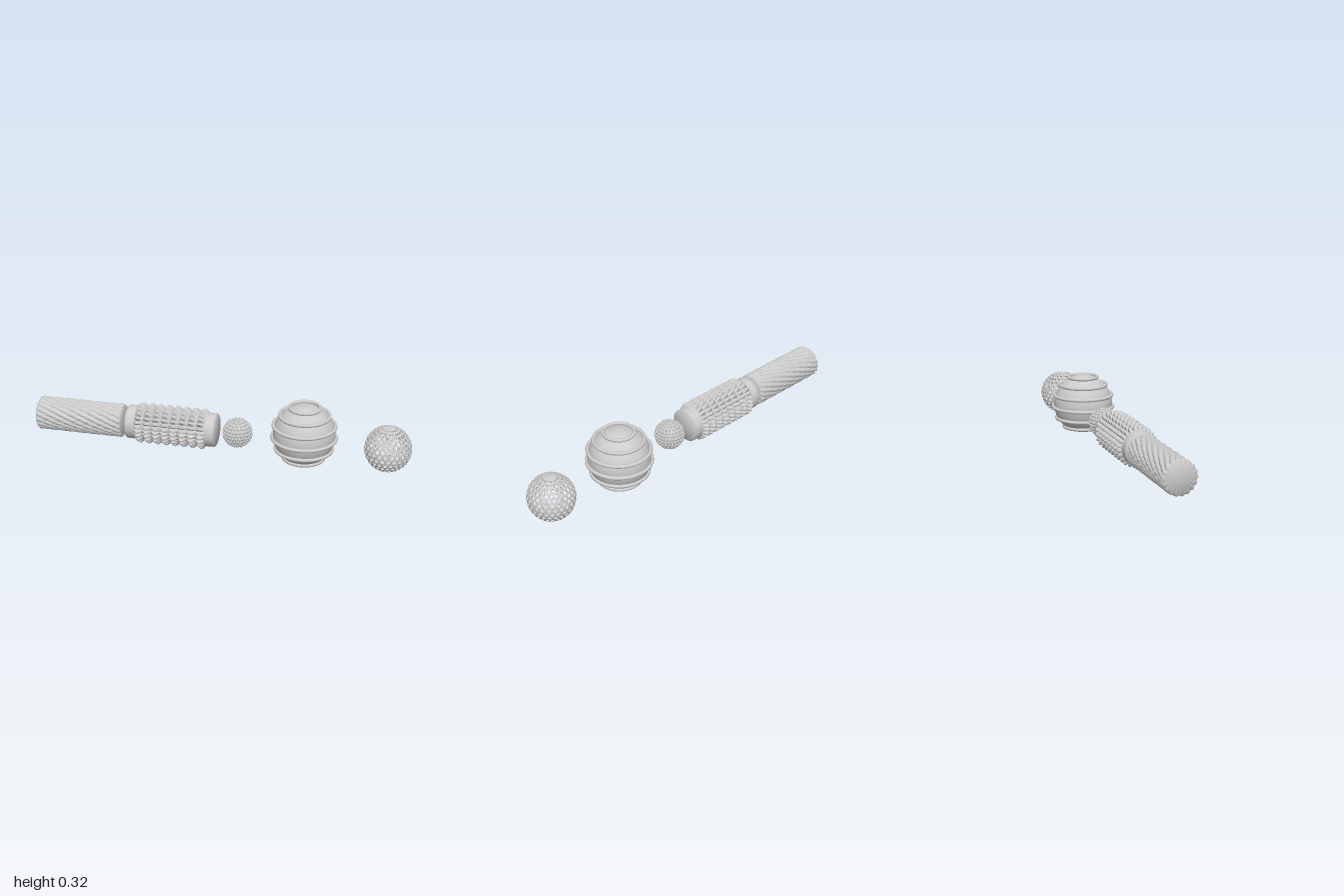
import * as THREE from 'three';
import { mergeGeometries, toCreasedNormals } from 'three/addons/utils/BufferGeometryUtils.js';

const material = new THREE.MeshStandardMaterial({ color: 0xcccccc });
const shellMaterial = new THREE.MeshStandardMaterial({ color: 0xcccccc, side: THREE.DoubleSide });

function add(parent, name, geometry, x = 0, y = 0, z = 0, mat = material) {
  const mesh = new THREE.Mesh(geometry, mat);
  mesh.name = name;
  mesh.position.set(x, y, z);
  parent.add(mesh);
  return mesh;
}

// Closed roller along x; radiusAt(x, phi) shapes the wall, bevel softens both ends
function rollerGeometry(length, bevel, rows, sides, radiusAt) {
  const g = new THREE.CylinderGeometry(1, 1, 1, sides, rows, true);
  const p = g.attributes.position;
  for (let i = 0; i < p.count; i++) {
    const j = Math.round((p.getY(i) + 0.5) * rows);
    const phi = Math.atan2(p.getZ(i), -p.getX(i));
    const edge = Math.min(j, rows - j);
    const k = THREE.MathUtils.clamp((j - 2) / (rows - 4), 0, 1);
    let x = bevel + k * (length - 2 * bevel);
    let r = radiusAt(x, phi);
    if (edge < 2) {
      x = j < 2 ? 0 : length;
      r = edge === 0 ? 0 : r - bevel;
    }
    p.setXYZ(i, -r * Math.cos(phi), x - length / 2, r * Math.sin(phi));
  }
  g.rotateZ(-Math.PI / 2);
  return toCreasedNormals(g, 0.9);
}

// Ball covered in rows of small rounded nubs
function nubbyBallGeometry(radius, nub, rows) {
  const parts = [new THREE.SphereGeometry(radius, 32, 20)];
  for (let i = 0; i <= rows; i++) {
    const polar = (i / rows) * Math.PI;
    const count = Math.max(1, Math.round(2 * rows * Math.sin(polar)));
    for (let k = 0; k < count; k++) {
      const angle = ((k + (i % 2) / 2) / count) * Math.PI * 2;
      const c = new THREE.Vector3().setFromSphericalCoords(radius, polar, angle);
      parts.push(new THREE.SphereGeometry(nub, 8, 6).translate(c.x, c.y, c.z));
    }
  }
  return mergeGeometries(parts);
}

// Thin spherical shell made of tiles, each with a round hole
function perforatedShellGeometry(radius, thickness, rows, columns, capLat) {
  const pos = [], nor = [], steps = 16;
  const halfLat = capLat / rows, halfLon = Math.PI / columns;
  const onSphere = (lon, lat, r) => new THREE.Vector3().setFromSphericalCoords(r, Math.PI / 2 - lat, lon);
  const quad = (a, b, c, d, normalOf) => {
    for (const v of [a, b, c, a, c, d]) {
      pos.push(v.x, v.y, v.z);
      nor.push(...normalOf(v).toArray());
    }
  };
  for (let i = 0; i < rows; i++) {
    const lat = -capLat + (2 * i + 1) * halfLat;
    const holeLon = Math.min(0.74 * halfLon, 0.088 / Math.cos(lat));
    const holeLat = Math.min(0.8 * halfLat, 1.6 * holeLon * Math.cos(lat));
    for (let k = 0; k < columns; k++) {
      const lon = (2 * k + (i % 2)) * halfLon;
      const center = onSphere(lon, lat, radius);
      const point = (s, hole, r) => {
        const a = (s / steps) * Math.PI * 2, c = Math.cos(a), n = Math.sin(a);
        const m = Math.max(Math.abs(c), Math.abs(n));
        return hole ? onSphere(lon + c * holeLon, lat + n * holeLat, r)
          : onSphere(lon + (c / m) * halfLon, lat + (n / m) * halfLat, r);
      };
      const inner = radius - thickness;
      const out = v => v.clone().normalize();
      const inward = v => out(v).negate();
      const rim = v => center.clone().setLength(v.length()).sub(v).normalize();
      for (let s = 0; s < steps; s++) {
        const ring = (hole, r) => [point(s, hole, r), point(s + 1, hole, r)];
        const [a, b] = ring(false, radius), [c, d] = ring(true, radius);
        const [e, f] = ring(true, inner), [g, h] = ring(false, inner);
        quad(a, b, d, c, out);
        quad(c, d, f, e, rim);
        quad(e, f, h, g, inward);
      }
    }
  }
  const geometry = new THREE.BufferGeometry();
  geometry.setAttribute('position', new THREE.Float32BufferAttribute(pos, 3));
  geometry.setAttribute('normal', new THREE.Float32BufferAttribute(nor, 3));
  return geometry;
}

export function createModel() {
  const model = new THREE.Group();
  model.name = 'rollerAndBallSet';
  const midY = 0.135;

  // Roller with twisted rounded ribs
  const ribs = 18, twistPerUnit = 4.6;
  add(model, 'twistedRoller', rollerGeometry(0.47, 0.006, 44, ribs * 8, (x, phi) =>
    0.089 - 0.008 * (1 - Math.abs(Math.sin((ribs / 2) * (phi - twistPerUnit * x))))), -0.765, midY, 0.003);

  // Roller with rings of studs between plain collars
  const rings = 8, pitch = 0.048, start = 0.052, studs = 24;
  add(model, 'studdedRoller', rollerGeometry(0.485, 0.006, 84, studs * 6, (x, phi) => {
    const u = (x - start) / pitch;
    if (u < 0 || u > rings) return 0.089;
    const around = Math.min(1, 1.3 * Math.abs(Math.sin((studs / 2) * phi)));
    return 0.086 + 0.022 * Math.abs(Math.sin(Math.PI * u)) * around;
  }), -0.2625, midY, 0.003);

  // Small nubby ball
  add(model, 'nubbyBall', nubbyBallGeometry(0.073, 0.0075, 13), 0.091, midY, 0.003);

  // Large ball with raised rings
  const ringed = new THREE.Group();
  ringed.name = 'ringedBall';
  ringed.position.set(0.443, 0.163, 0);
  model.add(ringed);
  add(ringed, 'ballCore', new THREE.SphereGeometry(0.162, 64, 40));
  const bands = [[0.15, 0.088], [0.107, 0.138], [0.05, 0.17], [-0.016, 0.175], [-0.078, 0.157], [-0.128, 0.116]];
  for (const [y, outer] of bands) {
    const tube = 0.0095;
    add(ringed, 'raisedRing', new THREE.TorusGeometry(outer - tube, tube, 12, 64).rotateX(Math.PI / 2), 0, y, 0);
  }

  // Hollow perforated ball with solid polar caps
  const perforated = new THREE.Group();
  perforated.name = 'perforatedBall';
  perforated.position.set(0.879, midY, 0.008);
  model.add(perforated);
  const capLat = THREE.MathUtils.degToRad(76.7);
  add(perforated, 'perforatedShell', perforatedShellGeometry(0.121, 0.005, 13, 24, capLat), 0, 0, 0, shellMaterial);
  for (const side of [0, Math.PI]) {
    const cap = new THREE.SphereGeometry(0.121, 48, 4, 0, Math.PI * 2, 0, Math.PI / 2 - capLat);
    add(perforated, 'polarCap', cap, 0, 0, 0, shellMaterial).rotation.x = side;
  }
  return model;
}
